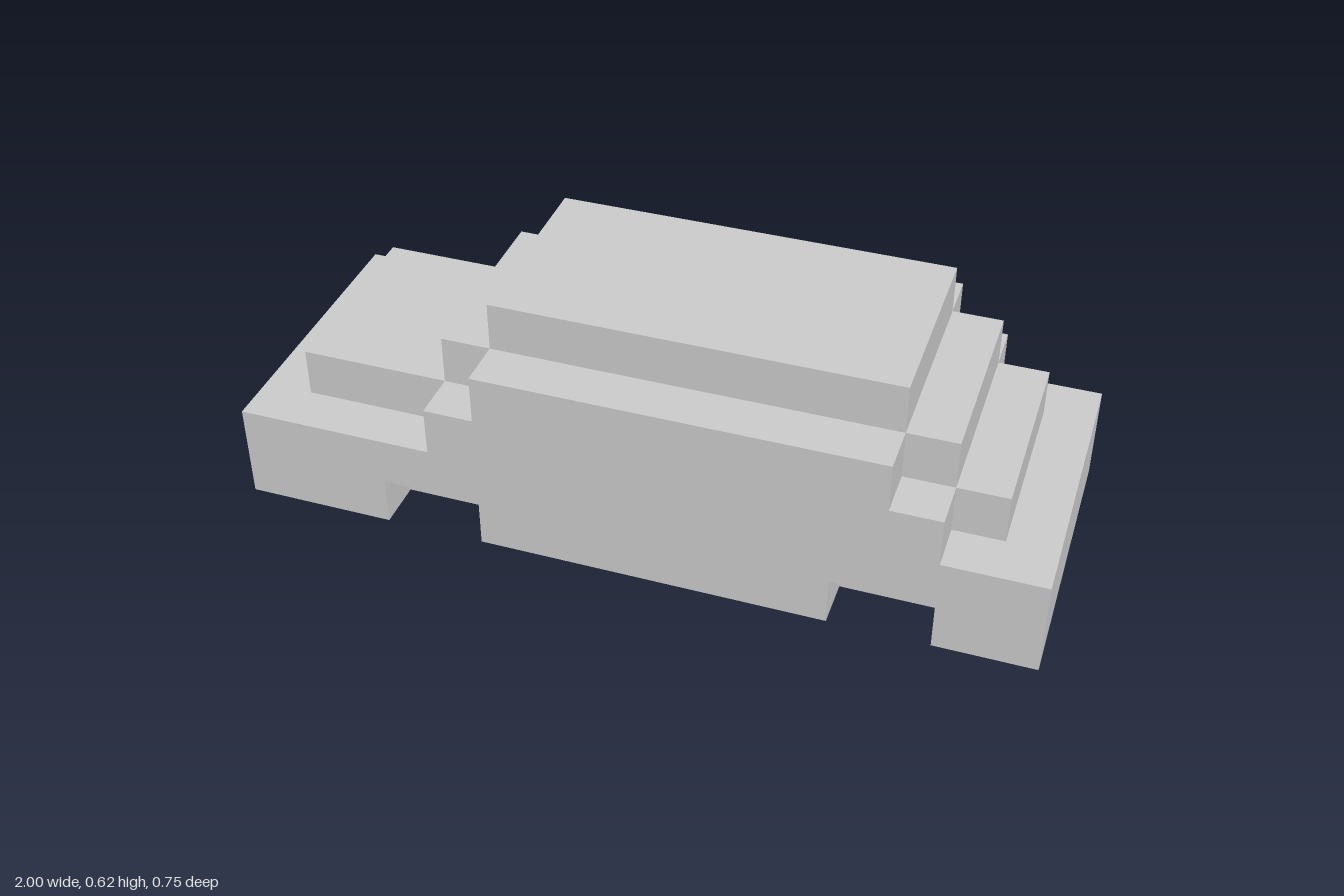
import * as THREE from 'three';

const material = new THREE.MeshStandardMaterial({ color: 0xcccccc, flatShading: true });

// Upright slab: an x-y outline extruded from z0 to z1
function slab(name, outline, z0, z1) {
  const shape = new THREE.Shape(outline.map(([x, y]) => new THREE.Vector2(x, y)));
  const geometry = new THREE.ExtrudeGeometry(shape, { depth: z1 - z0, bevelEnabled: false });
  geometry.translate(0, 0, z0);
  const mesh = new THREE.Mesh(geometry, material);
  mesh.name = name;
  return mesh;
}

export function createModel() {
  const group = new THREE.Group();
  group.name = 'steppedCar';
  const inner = 0.25, outer = 0.375;

  // Central body: base, bonnet and boot, window band, roof
  group.add(slab('centralBody', [
    [-1, 0], [1, 0], [1, 0.25], [0.875, 0.25], [0.875, 0.375], [0.75, 0.375],
    [0.75, 0.5], [0.625, 0.5], [0.625, 0.625], [-0.375, 0.625], [-0.375, 0.5],
    [-0.5, 0.5], [-0.5, 0.375], [-0.875, 0.375], [-0.875, 0.25], [-1, 0.25],
  ], -inner, inner));

  // Side panels, one step lower, with square wheel notches
  const sideOutline = [
    [-1, 0], [-0.625, 0], [-0.625, 0.125], [-0.375, 0.125], [-0.375, 0],
    [0.5, 0], [0.5, 0.125], [0.75, 0.125], [0.75, 0], [1, 0],
    [1, 0.25], [0.75, 0.25], [0.75, 0.375], [0.625, 0.375], [0.625, 0.5],
    [-0.375, 0.5], [-0.375, 0.375], [-0.5, 0.375], [-0.5, 0.25], [-1, 0.25],
  ];
  group.add(slab('frontSidePanel', sideOutline, inner, outer));
  group.add(slab('backSidePanel', sideOutline, -outer, -inner));

  return group;
}
